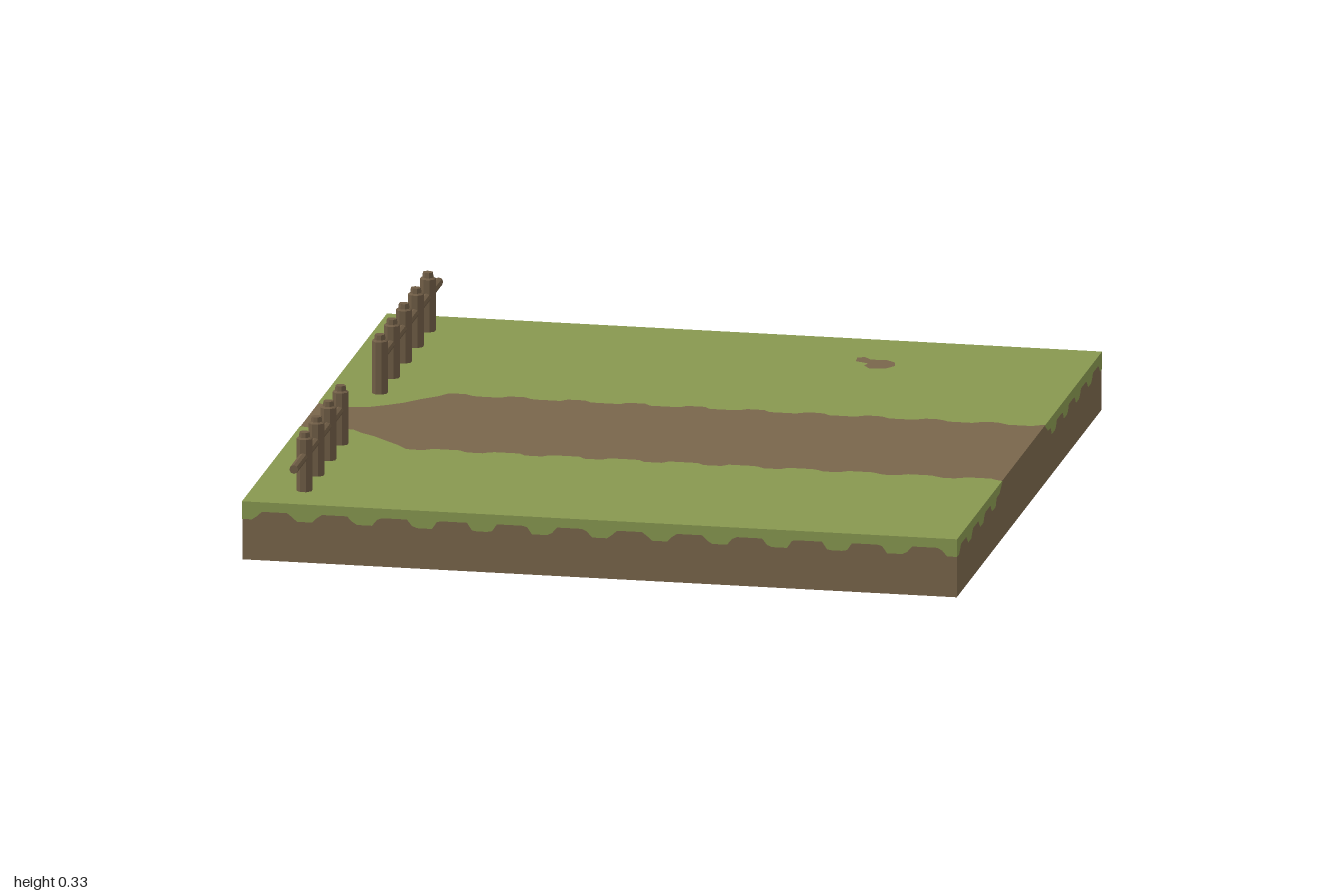
import * as THREE from 'three';

const TOP = 0.165; // height of the grass
const STEP = 0.1655; // spacing of posts and of the ragged bumps

const mat = (name, color) => {
  const m = new THREE.MeshStandardMaterial({ color });
  m.name = name;
  return m;
};

// Repeating flat-topped bump, 0..1, centred on `centre`
function bump(u, centre) {
  const t = (u - centre) / STEP;
  const d = Math.abs(t - Math.round(t));
  return THREE.MathUtils.clamp((0.25 - d) / 0.09, 0, 1);
}

// Points for one edge of the path: narrow gate end, then a ragged straight run
function pathEdge(gate, base, out) {
  const pts = gate.map(([x, z]) => new THREE.Vector2(x, -z));
  for (let i = 0; i <= 100; i++) {
    const x = -0.67 + (1.67 * i) / 100;
    pts.push(new THREE.Vector2(x, -(base + out * bump(x, -0.64))));
  }
  return pts;
}

// Ragged turf hanging down a side, thinning out towards the path
function skirtShape(a, b, pathEnd) {
  const pts = [new THREE.Vector2(b, TOP), new THREE.Vector2(a, TOP)];
  const n = Math.ceil((b - a) / 0.014);
  for (let i = 0; i <= n; i++) {
    const u = a + ((b - a) * i) / n;
    let y = 0.138 - 0.023 * bump(u, -0.66);
    if (pathEnd !== undefined) y = Math.max(y, TOP - 0.6 * Math.abs(u - pathEnd));
    pts.push(new THREE.Vector2(u, Math.min(y, TOP - 0.0005)));
  }
  return new THREE.Shape(pts);
}

export function createModel() {
  const group = new THREE.Group();
  const grass = mat('grass', 0x87974f);
  const soil = mat('soil', 0x79664b);
  const wood = mat('wood', 0x6f5c45);
  wood.flatShading = true;

  const add = (parent, name, geometry, material) => {
    const mesh = new THREE.Mesh(geometry, material);
    mesh.name = name;
    parent.add(mesh);
    return mesh;
  };

  // Soil slab, whose bare top is the path
  const slabH = TOP - 0.001;
  add(group, 'soilSlab', new THREE.BoxGeometry(1.998, slabH, 1.998), soil).position.y = slabH / 2;

  // Turf on either side of the path
  const backEdge = pathEdge([
    [-1, -0.05], [-0.97, -0.027], [-0.9, -0.022], [-0.85, -0.037], [-0.81, -0.064],
    [-0.77, -0.096], [-0.73, -0.144], [-0.69, -0.182],
  ], -0.2, -0.018);
  const frontEdge = pathEdge([
    [-1, 0.2], [-0.96, 0.212], [-0.9, 0.203], [-0.85, 0.205], [-0.82, 0.235],
    [-0.78, 0.262], [-0.74, 0.3], [-0.7, 0.337],
  ], 0.36, 0.018);
  const v = (x, z) => new THREE.Vector2(x, -z);
  const backTurf = new THREE.Shape([...backEdge, v(1, -1), v(-1, -1)]);
  const frontTurf = new THREE.Shape([...frontEdge, v(1, 1), v(-1, 1)]);

  // Bare patch in the back turf
  backTurf.holes.push(new THREE.Path([
    [0.355, -0.805], [0.375, -0.815], [0.395, -0.792], [0.44, -0.795], [0.467, -0.775],
    [0.474, -0.74], [0.452, -0.706], [0.41, -0.7], [0.39, -0.728], [0.395, -0.752], [0.358, -0.768],
  ].map(([x, z]) => v(x, z))));

  const turf = new THREE.ShapeGeometry([backTurf, frontTurf]);
  turf.rotateX(-Math.PI / 2);
  add(group, 'turf', turf, grass).position.y = TOP;

  // Turf overhang on the four sides
  const sides = [
    ['front', 0, [[-1, 1]]],
    ['left', Math.PI / 2, [[-1, -0.37, -0.37], [0.21, 1, 0.21]]],
    ['back', Math.PI, [[-1, 1]]],
    ['right', -Math.PI / 2, [[-1, -0.05, -0.05], [0.2, 1, 0.2]]],
  ];
  for (const [name, angle, spans] of sides) {
    const geo = new THREE.ShapeGeometry(spans.map((s) => skirtShape(...s)));
    geo.translate(0, 0, 1);
    add(group, name + 'TurfEdge', geo, grass).rotation.y = angle;
  }

  // Fence on both sides of the gate gap
  const postGeo = new THREE.LatheGeometry(
    [[0, 0], [0.0225, 0], [0.0225, 0.148], [0.016, 0.152], [0.014, 0.166], [0, 0.166]]
      .map(([r, y]) => new THREE.Vector2(r, y)), 8, Math.PI / 8);
  const fenceX = -0.855;
  for (const [name, first, count, dir] of [['frontFence', 0.356, 4, 1], ['backFence', -0.187, 5, -1]]) {
    const fence = new THREE.Group();
    fence.name = name;
    group.add(fence);
    for (let i = 0; i < count; i++) {
      add(fence, 'post', postGeo, wood).position.set(fenceX, TOP, first + dir * i * STEP);
    }
    const length = 1 - Math.abs(first);
    const railGeo = new THREE.CylinderGeometry(0.0125, 0.0125, length, 8);
    railGeo.rotateX(Math.PI / 2);
    add(fence, 'rail', railGeo, wood).position.set(fenceX, 0.263, first + (dir * length) / 2);
  }
  return group;
}
